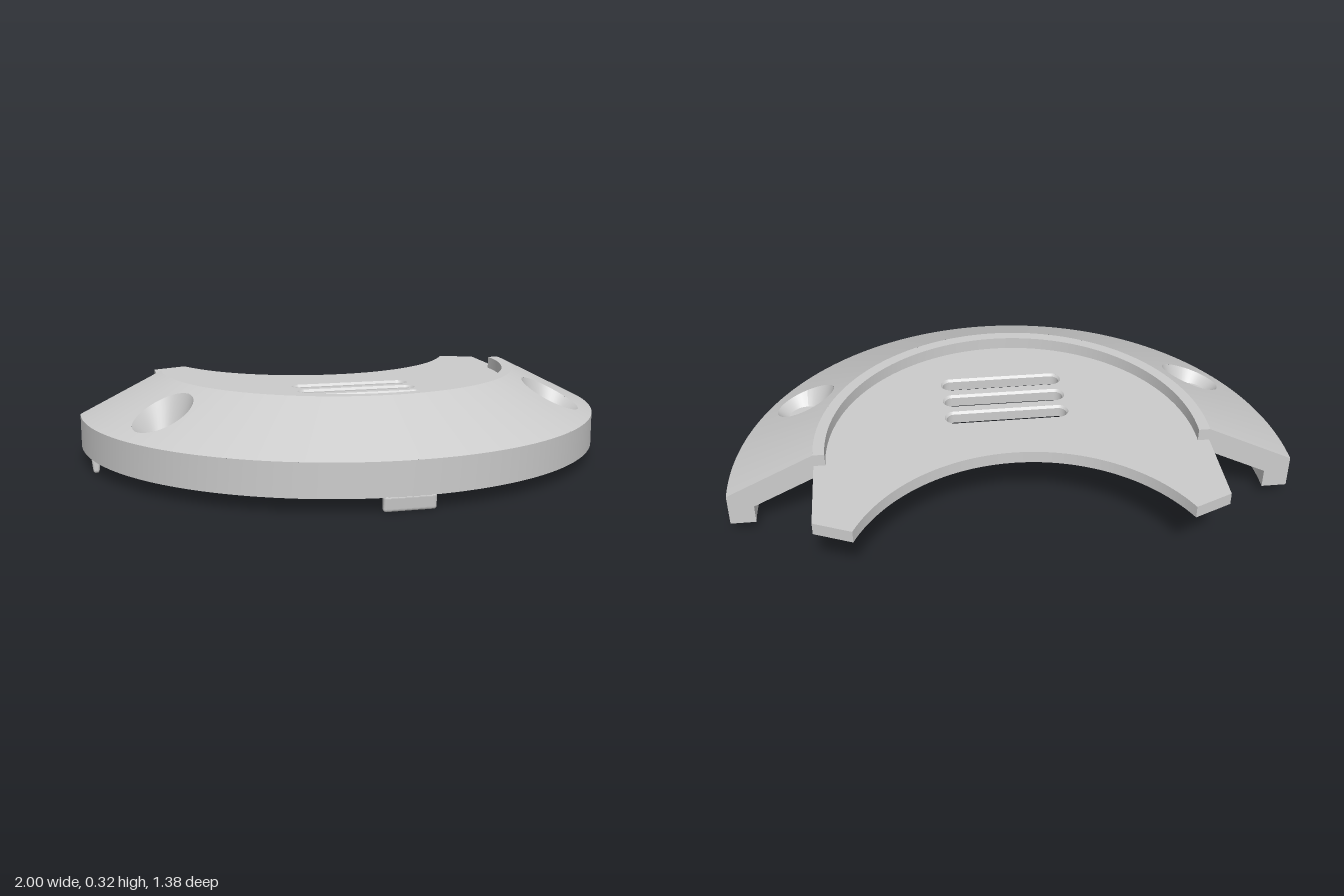
import * as THREE from 'three';
import { RoundedBoxGeometry } from 'three/addons/geometries/RoundedBoxGeometry.js';
import { mergeGeometries } from 'three/addons/utils/BufferGeometryUtils.js';

const CZ = -0.31, BACK = -0.335;              // arc centre and rear cut
const HX = 0.73, HZ = 0.11;                   // screw positions
const HA = Math.atan2(HX, HZ - CZ), HD = 0.22; // screw angle and half-window
const lerp = THREE.MathUtils.lerp;
const clamp = THREE.MathUtils.clamp;
const topY = r => 0.17 + (1 - r) * 0.5;       // sloped top
const underY = r => 0.12 + (0.91 - r) * 0.5;  // sloped underside

// Surface from a function f(u, v) -> [x, y, z]; normals point along du x dv
function grid(nu, nv, f) {
  const pos = [], uv = [], idx = [], w = nv + 1;
  for (let i = 0; i <= nu; i++) for (let j = 0; j <= nv; j++) {
    pos.push(...f(i / nu, j / nv));
    uv.push(i / nu, j / nv);
    if (i < nu && j < nv) {
      const a = i * w + j, b = a + w;
      idx.push(a, b, b + 1, a, b + 1, a + 1);
    }
  }
  const g = new THREE.BufferGeometry();
  g.setAttribute('position', new THREE.Float32BufferAttribute(pos, 3));
  g.setAttribute('uv', new THREE.Float32BufferAttribute(uv, 2));
  g.setIndex(idx);
  g.computeVertexNormals();
  return g;
}

// One strip per profile edge keeps the edges sharp
const strips = (profile, n, point) => mergeGeometries(profile.slice(1).map((q, k) =>
  grid(n, 1, (u, v) => {
    const a = point(profile[k], u), b = point(q, u);
    return a.map((c, i) => lerp(c, b[i], v));
  })));

// Point on the arc, with the angle stopped at the rear cut
function onArc(r, y, angle) {
  const end = Math.PI / 2 + Math.asin((CZ - BACK) / r);
  const a = clamp(angle, -end, end);
  return [r * Math.sin(a), y, CZ + r * Math.cos(a)];
}

// Strip of the shell between two profile points
function band([r0, y0], [r1, y1], from, to, n) {
  return grid(n, 1, (u, v) => {
    const r = lerp(r0, r1, v), end = Math.PI / 2 + Math.asin((CZ - BACK) / r);
    return onArc(r, lerp(y0, y1, v), lerp(Math.max(from, -end), Math.min(to, end), u));
  });
}

// Window of a sloped band with a round screw hole
function holedWindow([r0], [r1], height, side, radius) {
  const hx = side * HX;
  return grid(64, 3, (u, v) => {
    const s = (u * 4) % 4, k = Math.floor(s), t = s - k;
    const [a, b] = [[0, t], [t, 1], [1, 1 - t], [1 - t, 0]][k];
    const p = onArc(lerp(r0, r1, b), 0, side * HA + HD * (2 * a - 1));
    const dx = p[0] - hx, dz = p[2] - HZ, d = Math.hypot(dx, dz);
    const m = lerp(radius / d, 1, v), x = hx + dx * m, z = HZ + dz * m;
    return [x, height(Math.hypot(x, z - CZ)), z];
  });
}

function shellGeometry() {
  const P = [[1, 0.05], [1, 0.17], [0.69, 0.325], [0.65, 0.325], [0.65, 0.235],
    [0.68, 0.235], [0.91, 0.12], [0.91, 0.05]];
  const parts = [];
  P.forEach((p, i) => {
    const q = P[(i + 1) % P.length];
    const hole = { 1: [topY, 0.108], 5: [underY, 0.069] }[i];
    if (!hole) return parts.push(band(p, q, -9, 9, 96));
    parts.push(band(p, q, -9, -HA - HD, 12), band(p, q, HD - HA, HA - HD, 48), band(p, q, HA + HD, 9, 12));
    for (const s of [-1, 1]) parts.push(holedWindow(p, q, hole[0], s, hole[1]));
  });
  // flat rear ends
  for (const s of [-1, 1]) {
    const pts = P.map(([r, y]) => new THREE.Vector2(s * Math.sqrt(r * r - (CZ - BACK) ** 2), y));
    parts.push(new THREE.ShapeGeometry(new THREE.Shape(pts)).rotateY(Math.PI).translate(0, 0, BACK));
  }
  return mergeGeometries(parts);
}

// Countersunk screw seat with a boss below, trimmed to stay inside the outer wall
function bossGeometry(side) {
  const profile = [[0.108, 'rim'], [0.07, 0.17], [0.037, 0.17], [0.037, 0.055],
    [0.165, 0.055], [0.175, 0.067], [0.175, 'top']];
  return strips(profile, 48, ([rad, h], u) => {
    const a = u * Math.PI * 2;
    let x = side * HX + rad * Math.sin(a), z = HZ + rad * Math.cos(a) - CZ;
    const r = Math.hypot(x, z);
    if (rad > 0.12 && r > 0.95) { x *= 0.95 / r; z *= 0.95 / r; }
    const y = h === 'rim' ? topY(r) : h === 'top' ? (r < 0.91 ? underY(r) + 0.02 : 0.1) : h;
    return [x, y, z + CZ];
  });
}

const SLOTS = [-0.105, 0, 0.105], SLOT_R = 0.037, SLOT_L = 0.188;

function plateGeometry() {
  const s = new THREE.Shape(), R = 0.62, cz = BACK - R;
  const a = Math.atan2(-0.69 - cz, 0.56), e = Math.asin((CZ - BACK) / 0.66);
  s.moveTo(0.56, -0.69);
  s.lineTo(0.69, -0.635);
  s.lineTo(0.69, BACK);
  s.absarc(0, CZ, 0.66, -e, Math.PI + e, false);
  s.lineTo(-0.69, BACK);
  s.lineTo(-0.69, -0.635);
  s.absarc(0, cz, R, Math.PI - a, a, true);
  for (const z of SLOTS) {
    const h = new THREE.Path();
    h.absarc(SLOT_L, z, SLOT_R, -Math.PI / 2, Math.PI / 2, false);
    h.absarc(-SLOT_L, z, SLOT_R, Math.PI / 2, Math.PI * 1.5, false);
    h.closePath();
    s.holes.push(h);
  }
  return new THREE.ExtrudeGeometry(s, { depth: 0.045, bevelEnabled: false, curveSegments: 48 })
    .rotateX(Math.PI / 2).translate(0, 0.28, 0);
}

// Chamfered lining of a slot
function slotGeometry(z) {
  const profile = [[SLOT_R, 0.28], [0.03, 0.271], [0.03, 0.235], [SLOT_R, 0.235]];
  return strips(profile, 48, ([rad, y], u) => {
    const i = Math.round(u * 48), a = i / 48 * Math.PI * 2;
    const sx = i % 24 === 0 ? 0 : Math.sign(Math.sin(a));
    return [rad * Math.sin(a) + sx * SLOT_L, y, z + rad * Math.cos(a)];
  });
}

// Locating tab, thinner toward its foot
function tabGeometry() {
  const g = new RoundedBoxGeometry(0.18, 0.055, 0.032, 3, 0.01).translate(0, 0.0275, 0);
  const p = g.attributes.position;
  for (let i = 0; i < p.count; i++) p.setZ(i, p.getZ(i) * lerp(0.65, 1, p.getY(i) / 0.055));
  g.computeVertexNormals();
  return g;
}

export function createModel() {
  const model = new THREE.Group();
  const material = new THREE.MeshStandardMaterial({ color: 0xcccccc });
  const add = (name, geometry) => {
    const mesh = new THREE.Mesh(geometry, material);
    mesh.name = name;
    model.add(mesh);
    return mesh;
  };
  add('shell', shellGeometry());
  add('plate', plateGeometry());
  SLOTS.forEach(z => add('slotLining', slotGeometry(z)));
  add('frontTab', tabGeometry()).position.set(0, 0, 0.673);
  for (const [side, name] of [[1, 'left'], [-1, 'right']]) {
    add(name + 'ScrewBoss', bossGeometry(side));
    const tab = add(name + 'Tab', tabGeometry());
    tab.position.set(side * 0.958, 0, -0.16);
    tab.rotation.y = Math.PI / 2;
  }
  return model;
}
